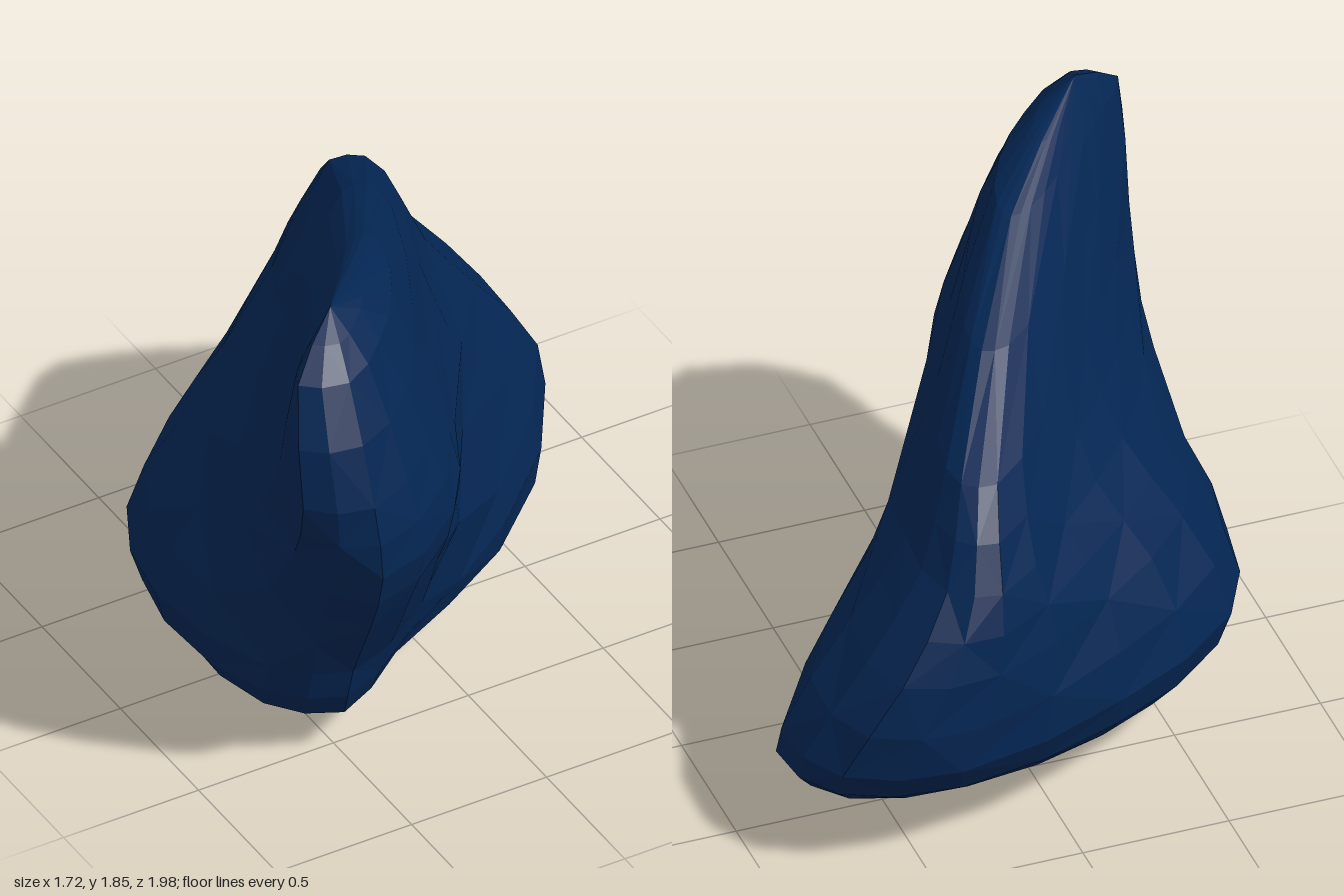
import * as THREE from 'three';

// Horizontal cross-sections: front tip -> right -> back tip -> left, as [x, z]
const SECTIONS = [
  { y: 0.17, ring: [[-0.5, 0.57], [-0.2, 0.38], [0.36, 0.08], [0.8, -0.43], [0.68, -0.68], [0.3, -0.75], [-0.2, -0.64], [-0.58, -0.4], [-0.74, -0.02], [-0.7, 0.4]] },
  { y: 0.4, ring: [[-0.52, 0.66], [-0.15, 0.46], [0.36, 0.07], [0.86, -0.54], [0.77, -0.86], [0.4, -0.97], [-0.22, -0.78], [-0.71, -0.46], [-0.86, -0.02], [-0.74, 0.5]] },
  { y: 0.75, ring: [[-0.58, 0.88], [-0.22, 0.68], [0.2, 0.12], [0.62, -0.52], [0.59, -0.93], [0.27, -0.97], [-0.2, -0.7], [-0.58, -0.36], [-0.74, 0.05], [-0.76, 0.55]] },
  { y: 1.02, ring: [[-0.6, 0.99], [-0.22, 0.79], [0.02, 0.38], [0.42, -0.5], [0.4, -0.83], [0.24, -0.91], [-0.08, -0.62], [-0.42, -0.24], [-0.64, 0.15], [-0.77, 0.72]] },
  { y: 1.3, ring: [[-0.62, 0.97], [-0.3, 0.77], [-0.02, 0.28], [0.28, -0.42], [0.29, -0.66], [0.18, -0.7], [-0.08, -0.42], [-0.36, -0.06], [-0.6, 0.3], [-0.82, 0.86]] },
  { y: 1.7, ring: [[-0.62, 0.81], [-0.42, 0.66], [-0.26, 0.46], [-0.16, 0.22], [-0.18, 0.14], [-0.26, 0.17], [-0.4, 0.3], [-0.55, 0.46], [-0.67, 0.6], [-0.77, 0.74]] },
];
const BASE = new THREE.Vector3(0, 0, -0.22);
const PEAK = new THREE.Vector3(-0.57, 1.85, 0.6);
const SIDES = 20;
const STEPS = 14;

function rockGeometry() {
  // Ribs climb from the base point through the same corner of every section to the peak
  const ribs = SECTIONS[0].ring.map((_, c) => new THREE.CatmullRomCurve3([
    BASE,
    ...SECTIONS.map(({ y, ring }) => new THREE.Vector3(ring[c][0], y, ring[c][1])),
    PEAK,
  ]));

  // Closed loops around the ribs
  const points = [];
  for (let k = 1; k < STEPS; k++) {
    const loop = new THREE.CatmullRomCurve3(ribs.map((rib) => rib.getPoint(k / STEPS)), true);
    for (let i = 0; i < SIDES; i++) points.push(loop.getPoint(i / SIDES));
  }
  const last = points.length - SIDES;
  const baseId = points.push(BASE) - 1;
  const peakId = points.push(PEAK) - 1;

  const index = [];
  for (let i = 0; i < SIDES; i++) {
    const j = (i + 1) % SIDES;
    for (let k = 0; k < last; k += SIDES) {
      const a = k + i, b = k + j, c = b + SIDES, d = a + SIDES;
      // Alternating diagonals give chipped facets
      if ((i + k / SIDES) % 2) index.push(a, b, c, a, c, d);
      else index.push(a, b, d, b, c, d);
    }
    index.push(baseId, j, i, peakId, last + i, last + j);
  }
  const geometry = new THREE.BufferGeometry().setFromPoints(points);
  geometry.setIndex(index);
  geometry.computeVertexNormals();
  return geometry;
}

export function createModel() {
  const group = new THREE.Group();
  group.name = 'rock';
  const material = new THREE.MeshStandardMaterial({ color: 0x042653, flatShading: true });
  const boulder = new THREE.Mesh(rockGeometry(), material);
  boulder.name = 'boulder';
  group.add(boulder);
  return group;
}
